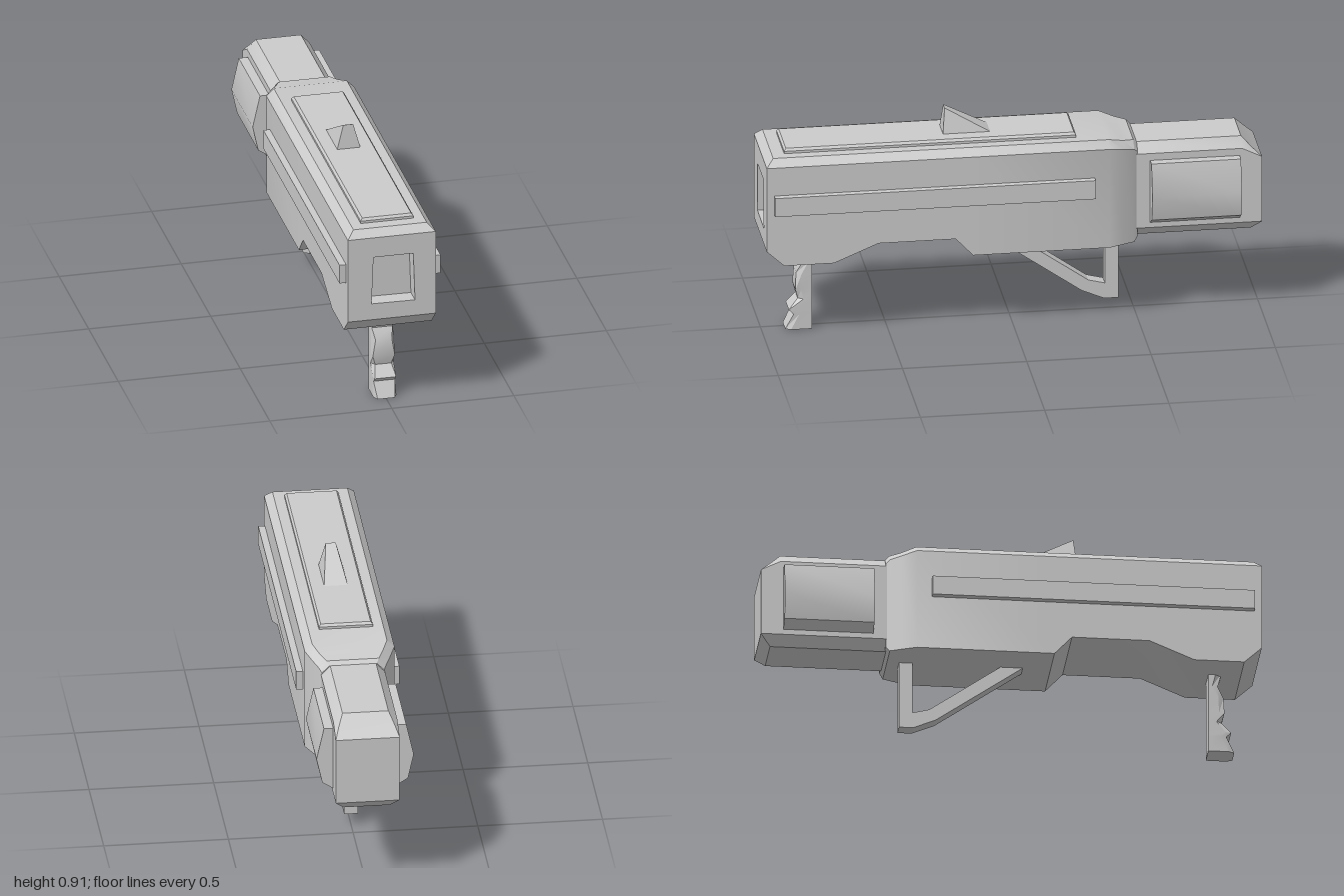
import * as THREE from 'three';
import { toCreasedNormals } from 'three/addons/utils/BufferGeometryUtils.js';

const material = new THREE.MeshStandardMaterial({ color: 0xcccccc });

// Skin a list of rings of [x, y, z]; rings turn anticlockwise about the direction of travel.
function loft(rings, capStart = true, capEnd = true) {
  const positions = [];
  const tri = (...corners) => {
    const p = corners.map((c) => new THREE.Vector3(...c));
    if (new THREE.Triangle(...p).getArea() > 1e-8) p.forEach((v) => positions.push(v.x, v.y, v.z));
  };
  const n = rings[0].length;
  for (let i = 0; i < rings.length - 1; i++) {
    for (let j = 0; j < n; j++) {
      const k = (j + 1) % n, [r, s] = [rings[i], rings[i + 1]];
      tri(r[j], r[k], s[k]);
      tri(r[j], s[k], s[j]);
    }
  }
  const last = rings[rings.length - 1];
  for (let j = 1; j < n - 1; j++) {
    if (capStart) tri(rings[0][0], rings[0][j + 1], rings[0][j]);
    if (capEnd) tri(last[0], last[j], last[j + 1]);
  }
  const geometry = new THREE.BufferGeometry();
  geometry.setAttribute('position', new THREE.Float32BufferAttribute(positions, 3));
  geometry.computeVertexNormals();
  return toCreasedNormals(geometry, 0.45);
}

// Mirrored cross-section: right half given from bottom to top.
const section = (z, half) => [
  ...half.map(([x, y]) => [x, y, z]),
  ...half.slice().reverse().map(([x, y]) => [-x, y, z]),
];

// Horizontal rectangle for lofts that travel upward.
const plan = (y, w, z0, z1) => [[-w, y, z1], [w, y, z1], [w, y, z0], [-w, y, z0]];

const toShape = (points) => new THREE.Shape(points.map(([x, y]) => new THREE.Vector2(x, y)));

export function createModel() {
  const model = new THREE.Group();
  const add = (name, geometry, parent = model) => {
    const mesh = new THREE.Mesh(geometry, material);
    mesh.name = name;
    parent.add(mesh);
    return mesh;
  };

  // Main body: [z, half width, bottom, shoulder height, top half width, top]
  const body = new THREE.Group();
  body.name = 'body';
  model.add(body);
  const bodySections = [
    [-0.5, 0.125, 0.355, 0.72, 0.095, 0.75],
    [-0.485, 0.135, 0.335, 0.735, 0.105, 0.765],
    [-0.44, 0.155, 0.335, 0.745, 0.125, 0.772],
    [-0.38, 0.18, 0.335, 0.76, 0.15, 0.79],
    [0.17, 0.18, 0.335, 0.76, 0.15, 0.79],
    [0.24, 0.18, 0.41, 0.76, 0.15, 0.79],
    [0.55, 0.18, 0.41, 0.76, 0.15, 0.79],
    [0.73, 0.18, 0.335, 0.76, 0.15, 0.79],
    [0.93, 0.18, 0.335, 0.76, 0.15, 0.79],
    [0.97, 0.18, 0.372, 0.76, 0.15, 0.79],
    [1, 0.18, 0.4, 0.76, 0.18, 0.76],
  ];
  add('bodyShell', loft(bodySections.map(([z, w, b, s, t, top]) =>
    section(z, [[w, b], [w, s], [t, top]])), true, false), body);

  // Front face with a recessed socket
  const socket = [[-0.083, 0.47], [0.095, 0.468], [0.088, 0.674], [-0.075, 0.674]];
  const face = toShape([[-0.18, 0.4], [0.18, 0.4], [0.18, 0.76], [-0.18, 0.76]]);
  face.holes.push(toShape(socket));
  add('frontFace', new THREE.ShapeGeometry(face), body).position.z = 1;
  add('socketFloor', new THREE.ShapeGeometry(toShape(socket)), body).position.z = 0.93;
  const inward = socket.slice().reverse();
  add('socketWalls', loft([0.93, 1].map((z) => inward.map(([x, y]) => [x, y, z])), false, false), body);

  // Rear block with chamfered edges, top and bottom sloping in at the end
  add('rearBlock', loft([
    section(-1, [[0.128, 0.39], [0.128, 0.39], [0.128, 0.67], [0.128, 0.67]]),
    section(-0.96, [[0.092, 0.35], [0.128, 0.39], [0.128, 0.69], [0.112, 0.708]]),
    section(-0.92, [[0.092, 0.35], [0.128, 0.39], [0.128, 0.71], [0.092, 0.75]]),
    section(-0.48, [[0.092, 0.35], [0.128, 0.39], [0.128, 0.71], [0.092, 0.75]]),
  ]));

  // Top plate and sight
  add('topPlate', loft([
    plan(0.78, 0.108, -0.255, 0.92), plan(0.8, 0.108, -0.255, 0.92), plan(0.81, 0.1, -0.247, 0.912),
  ]));
  add('sight', loft([plan(0.8, 0.05, 0.065, 0.273), plan(0.91, 0.02, 0.26, 0.262)]));

  // Side rails and faceted side pods
  const podProfile = [[0.1, 0.41], [0.125, 0.41], [0.172, 0.44], [0.195, 0.545], [0.165, 0.68], [0.1, 0.68]];
  for (const [side, s] of [['left', 1], ['right', -1]]) {
    const rail = add(side + 'Rail', new THREE.BoxGeometry(0.04, 0.08, 1.29));
    rail.position.set(s * 0.187, 0.6, 0.325);
    const profile = podProfile.map(([x, y]) => [s * x, y]);
    if (s < 0) profile.reverse();
    add(side + 'Pod', loft([-0.91, -0.55].map((z) => profile.map(([x, y]) => [x, y, z]))));
  }

  // Front grip: [y, front z, front half width]
  const gripSteps = [
    [0, 0.905, 0.035], [0.065, 0.872, 0.044], [0.085, 0.892, 0.044], [0.13, 0.855, 0.033],
    [0.17, 0.865, 0.045], [0.24, 0.862, 0.033], [0.285, 0.838, 0.043], [0.35, 0.855, 0.03],
  ];
  add('frontGrip', loft(gripSteps.map(([y, z, w]) => [
    [-w, y, z], [w, y, z], [0.047, y, z - 0.022], [0.047, y, 0.8], [-0.047, y, 0.8], [-0.047, y, z - 0.022],
  ])));

  // Rear handle loop, outlined as [-z, y] and turned to run along the body
  const handle = toShape([
    [-0.08, 0.35], [0.29, 0.09], [0.38, 0.052], [0.437, 0.052], [0.437, 0.35],
    [0.382, 0.35], [0.382, 0.118], [0.315, 0.135], [0.01, 0.35],
  ]);
  const handleGeometry = new THREE.ExtrudeGeometry(handle, { depth: 0.056, bevelEnabled: false });
  handleGeometry.translate(0, 0, -0.028).rotateY(Math.PI / 2);
  add('rearHandle', handleGeometry);

  return model;
}
